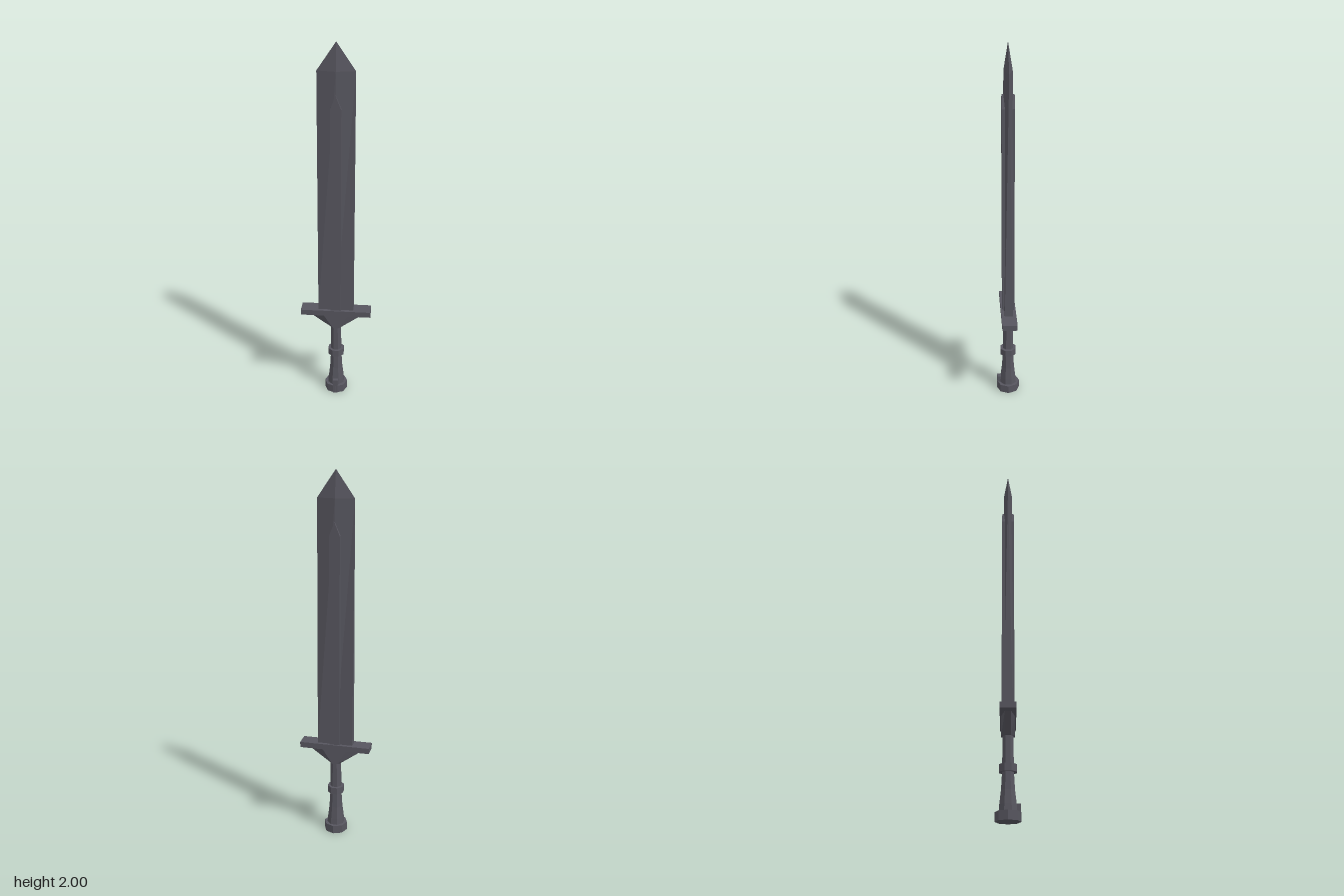
import * as THREE from 'three';

const flat = (g) => {
  const f = g.index ? g.toNonIndexed() : g;
  f.computeVertexNormals();
  return f;
};

// Loft through rings of [x, z] points, each at a height y, with flat caps
function loft(rings) {
  const n = rings[0].pts.length, pos = [], idx = [];
  rings.forEach(({ y, pts }) => pts.forEach(([x, z]) => pos.push(x, y, z)));
  for (let r = 0; r < rings.length - 1; r++) {
    for (let i = 0; i < n; i++) {
      const a = r * n + i, b = r * n + (i + 1) % n;
      idx.push(a, b, b + n, a, b + n, a + n);
    }
  }
  const top = (rings.length - 1) * n;
  for (let i = 1; i < n - 1; i++) idx.push(0, i + 1, i, top, top + i, top + i + 1);
  const g = new THREE.BufferGeometry();
  g.setAttribute('position', new THREE.Float32BufferAttribute(pos, 3));
  g.setIndex(idx);
  return flat(g);
}

export function createModel() {
  const group = new THREE.Group();
  const steel = new THREE.MeshStandardMaterial({ color: 0x57565f, flatShading: true });
  steel.name = 'darkSteel';
  const add = (name, geometry, x = 0, y = 0, z = 0) => {
    const m = new THREE.Mesh(geometry, steel);
    m.name = name;
    m.position.set(x, y, z);
    group.add(m);
  };

  // Blade: square-edged at the guard, sharpening to a diamond, then a point
  const section = (w, t, e) => [[0, t], [w, e], [w, -e], [0, -t], [-w, -e], [-w, e]];
  add('blade', loft([
    { y: 0.53, pts: section(0.097, 0.023, 0.023) },
    { y: 1.86, pts: section(0.097, 0.023, 0) },
    { y: 2.0, pts: section(0, 0, 0) },
  ]));

  // Raised pointed rib on both faces of the blade
  const rib = new THREE.Shape([[-0.028, 0.53], [0.028, 0.53], [0.028, 1.675], [0, 1.745], [-0.028, 1.675]]
    .map(([x, y]) => new THREE.Vector2(x, y)));
  add('bladeRib', flat(new THREE.ExtrudeGeometry(rib, { depth: 0.066, bevelEnabled: false })), 0, 0, -0.033);

  // Crossguard with a flared support beneath
  add('crossguard', flat(new THREE.BoxGeometry(0.387, 0.031, 0.082)), 0, 0.52, 0);
  const octagon = (fx, fz, sx, sz) => [
    [fx, fz], [sx, sz], [sx, -sz], [fx, -fz], [-fx, -fz], [-sx, -sz], [-sx, sz], [-fx, fz],
  ];
  add('guardSupport', loft([
    { y: 0.42, pts: octagon(0.014, 0.034, 0.03, 0.015) },
    { y: 0.506, pts: octagon(0.07, 0.034, 0.15, 0.015) },
  ]));

  // Eight-sided grip, flats facing forward; radii are measured to the flats
  const turned = (profile) => flat(new THREE.LatheGeometry(
    profile.map(([r, y]) => new THREE.Vector2(r / Math.cos(Math.PI / 8), y)), 8, Math.PI / 8));
  add('grip', turned([[0, 0.03], [0.045, 0.04], [0.042, 0.08], [0.034, 0.15], [0.029, 0.24], [0.027, 0.43], [0, 0.43]]));
  add('gripRing', turned([[0, 0.238], [0.043, 0.238], [0.043, 0.276], [0, 0.276]]));

  // Pommel with a small tab on its front
  add('pommel', flat(new THREE.CylinderGeometry(0.064, 0.064, 0.046, 8)), 0, 0.023, 0);
  add('pommelTab', flat(new THREE.BoxGeometry(0.028, 0.083, 0.03)), 0, 0.0425, 0.048);

  return group;
}
